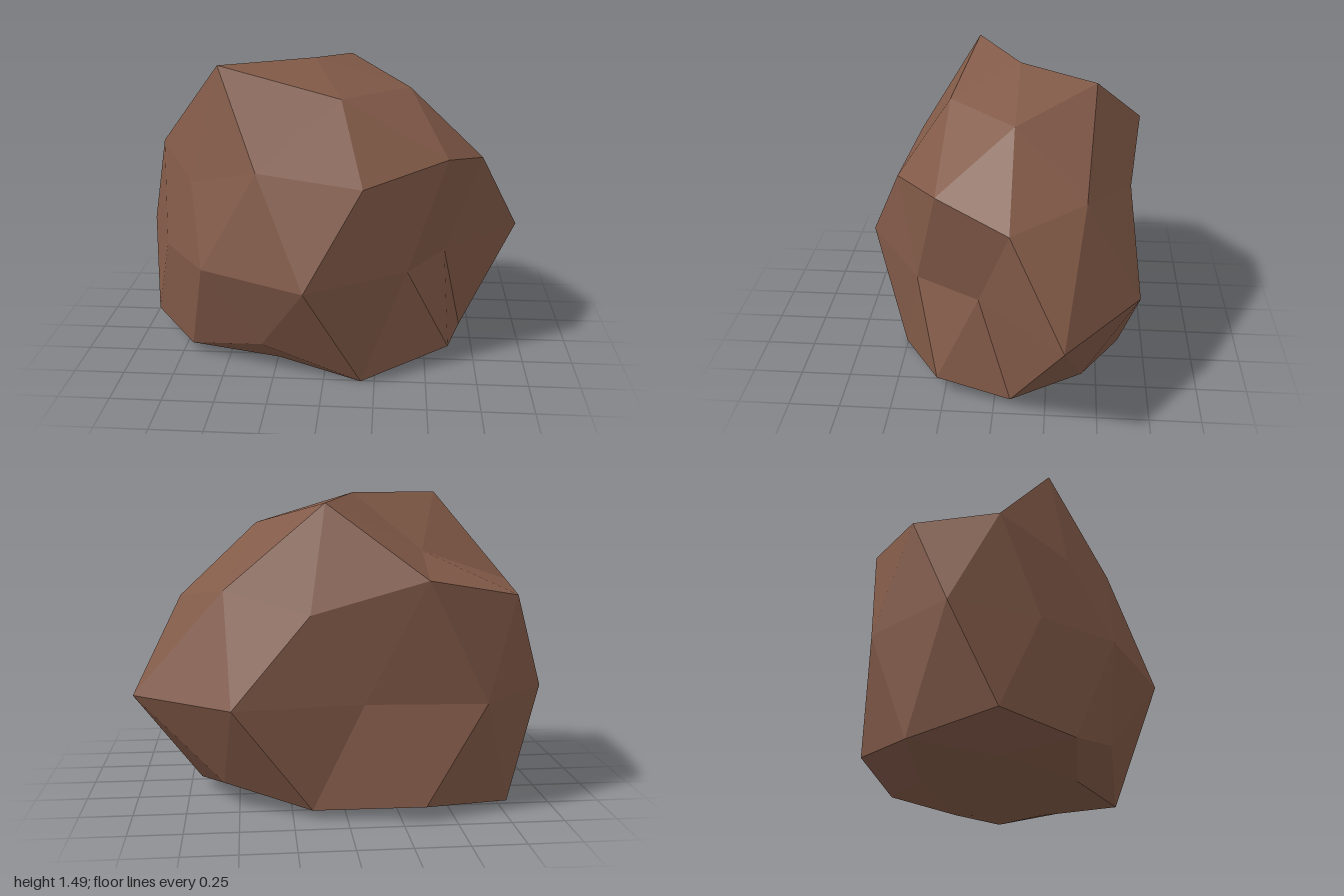
import * as THREE from 'three';

// Boulder: rings of an icosphere, each point pushed in or out, squashed and cut flat below.
const CENTRE = new THREE.Vector3(-0.08, 0.54, -0.08);
const SQUASH = new THREE.Vector3(1, 1.04, 0.725);
const LAT = { pole: 90, cap: 58.28, ico: 26.57, mid: 31.72 };

// Radii per ring, in order of azimuth from +x towards +z
const TOP = 0.913;
const UPPER_CAP = [0.91, 0.915, 1.07, 0.76, 1.03];
const UPPER = [0.96, 0.965, 0.955, 0.91, 0.82, 0.93, 1.03, 1.055, 0.9, 0.93];
const EQUATOR = [0.705, 0.815, 1.076, 0.885, 0.8, 0.967, 0.97, 0.74, 1.037, 1.135];
const LOWER = [0.91, 0.96, 1.0, 0.84, 0.9, 0.975, 1.05, 1.01, 0.915, 0.9];
const LOWER_CAP = [1, 1, 1, 1, 1];

function point(radius, latitude, azimuth) {
  const lat = THREE.MathUtils.degToRad(latitude);
  const az = THREE.MathUtils.degToRad(azimuth);
  const p = new THREE.Vector3(Math.cos(lat) * Math.cos(az), Math.sin(lat), Math.cos(lat) * Math.sin(az));
  p.multiplyScalar(radius).multiply(SQUASH).add(CENTRE);
  p.y = Math.max(p.y, 0); // flat underside
  return p;
}

function boulderGeometry() {
  const top = point(TOP, LAT.pole, 0);
  const bottom = point(1, -LAT.pole, 0);
  const a = UPPER_CAP.map((r, k) => point(r, LAT.cap, 72 * k));
  const u = UPPER.map((r, j) => point(r, j % 2 ? LAT.mid : LAT.ico, 36 * j));
  const e = EQUATOR.map((r, j) => point(r, 0, 18 + 36 * j));
  const l = LOWER.map((r, j) => point(r, j % 2 ? -LAT.ico : -LAT.mid, 36 * j));
  const b = LOWER_CAP.map((r, k) => point(r, -LAT.cap, 36 + 72 * k));

  const at = (ring, i) => ring[(i + ring.length) % ring.length];
  const corners = [];
  const face = (...points) => corners.push(...points);

  // Crown and underside
  for (let k = 0; k < 5; k++) {
    const j = 2 * k;
    face(top, at(a, k + 1), a[k]);
    face(a[k], at(u, j + 1), u[j]);
    face(a[k], u[j], at(u, j - 1));
    face(a[k], at(a, k + 1), at(u, j + 1));

    face(bottom, b[k], at(b, k + 1));
    face(b[k], l[j], l[j + 1]);
    face(b[k], l[j + 1], at(l, j + 2));
    face(b[k], at(l, j + 2), at(b, k + 1));
  }
  // Sides above and below the equator
  for (let j = 0; j < 10; j++) {
    face(u[j], e[j], at(e, j - 1));
    face(u[j], at(u, j + 1), e[j]);
    face(l[j], at(e, j - 1), e[j]);
    face(l[j], e[j], at(l, j + 1));
  }

  // Unshared corners keep every facet flat
  const geometry = new THREE.BufferGeometry().setFromPoints(corners);
  geometry.computeVertexNormals();
  return geometry;
}

export function createModel() {
  const group = new THREE.Group();
  group.name = 'rock';
  const stone = new THREE.MeshStandardMaterial({ color: 0x825a48 });
  stone.name = 'brown stone';
  const boulder = new THREE.Mesh(boulderGeometry(), stone);
  boulder.name = 'boulder';
  group.add(boulder);
  return group;
}
